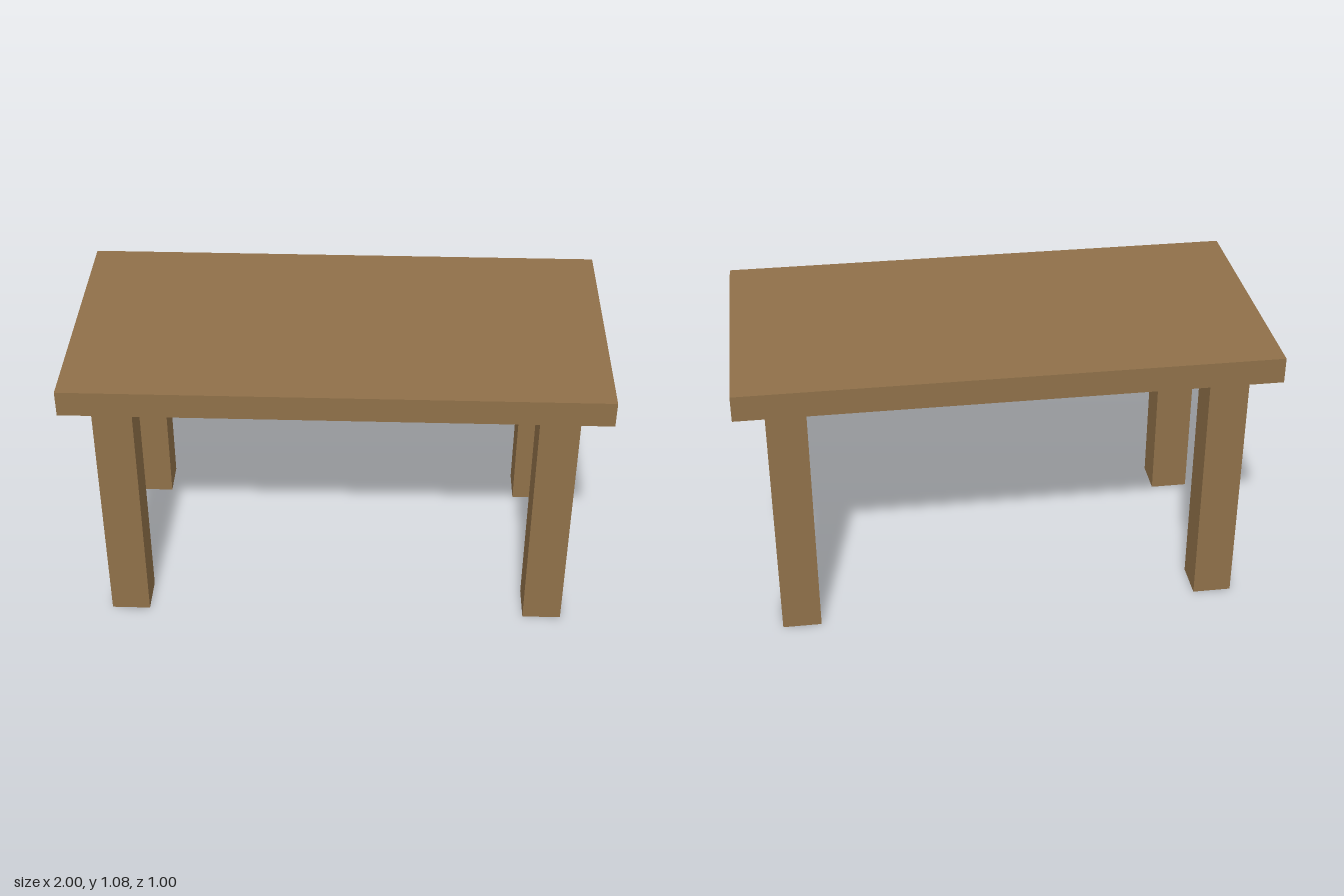
import * as THREE from 'three';

const TOP_Y = 1.075, LEG_H = 0.976, LEG_W = 0.148;
const LEG_X = 0.813, LEG_Z = 0.376;

export function createModel() {
  const table = new THREE.Group();
  table.name = 'table';
  const wood = new THREE.MeshStandardMaterial({ color: 0x8f7049 });
  wood.name = 'brown wood';

  const addBox = (name, size, position) => {
    const mesh = new THREE.Mesh(new THREE.BoxGeometry(...size), wood);
    mesh.name = name;
    mesh.position.set(...position);
    table.add(mesh);
  };

  // Table top slab
  addBox('tableTop', [2, TOP_Y - LEG_H, 1], [0, (TOP_Y + LEG_H) / 2, 0]);

  // Four square legs, mirrored across both axes
  for (const [zName, sz] of [['front', 1], ['back', -1]]) {
    for (const [xName, sx] of [['Left', 1], ['Right', -1]]) {
      addBox(`${zName}${xName}Leg`, [LEG_W, LEG_H, LEG_W], [sx * LEG_X, LEG_H / 2, sz * LEG_Z]);
    }
  }
  return table;
}
